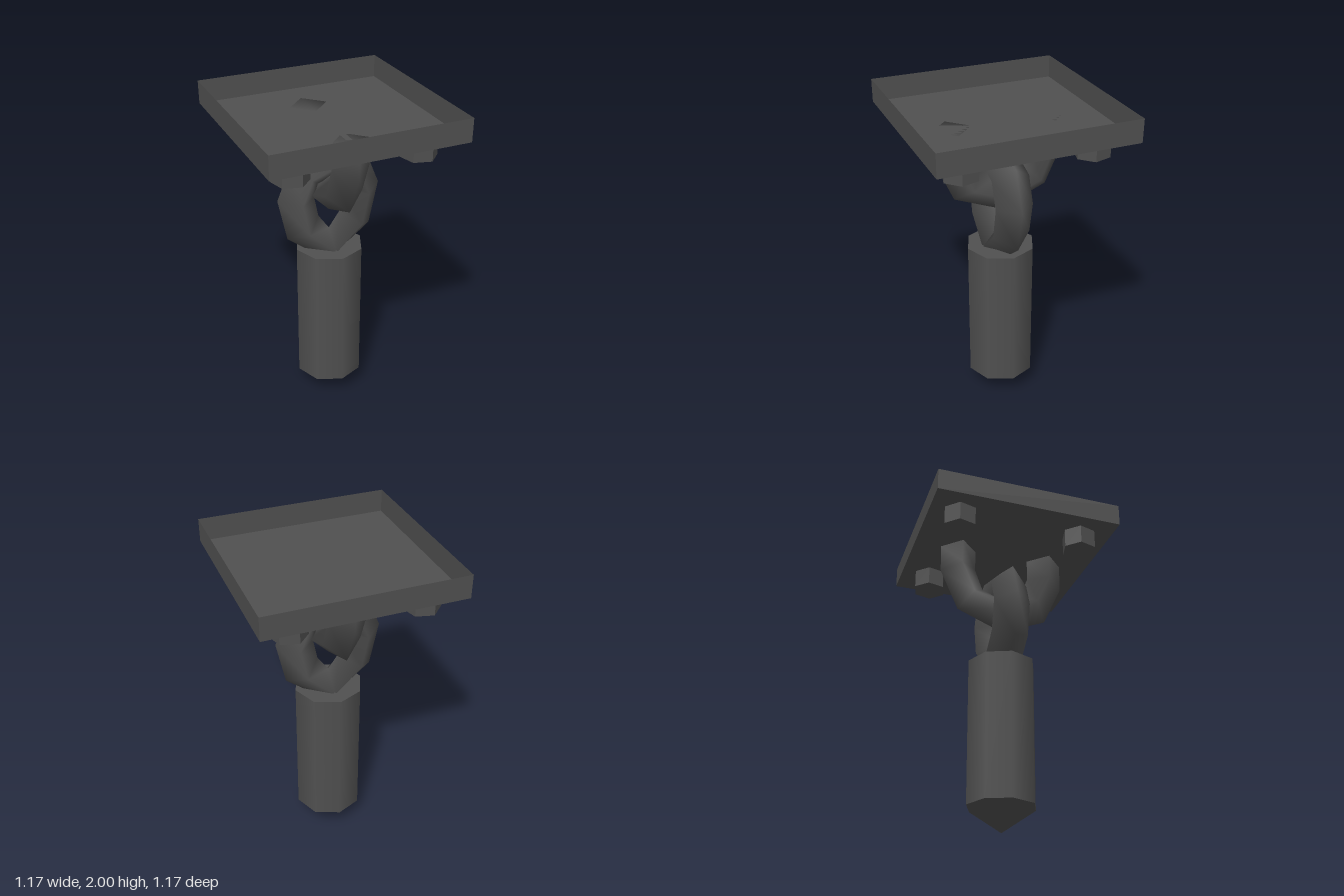
import * as THREE from 'three';

const iron = new THREE.MeshStandardMaterial({ color: 0x505050, side: THREE.DoubleSide });
iron.name = 'dark iron';

function add(parent, name, geometry, x = 0, y = 0, z = 0) {
  const mesh = new THREE.Mesh(geometry, iron);
  mesh.name = name;
  mesh.position.set(x, y, z);
  parent.add(mesh);
  return mesh;
}

// Sweeps a four-sided smooth bar along [x, y] points running counter-clockwise
function barGeometry(path, radius, closed) {
  const n = path.length;
  const pts = path.map(([x, y]) => new THREE.Vector2(x, y));
  const at = (i) => pts[closed ? (i + n) % n : Math.min(Math.max(i, 0), n - 1)];
  const positions = [];
  const index = [];
  for (let i = 0; i < n; i++) {
    const p = pts[i];
    const before = p.clone().sub(at(i - 1)).normalize();
    const after = at(i + 1).clone().sub(p).normalize();
    const t = before.add(after).normalize();
    const out = new THREE.Vector2(t.y, -t.x);
    for (let k = 0; k < 4; k++) {
      const c = Math.cos((k * Math.PI) / 2) * radius;
      const s = Math.sin((k * Math.PI) / 2) * radius;
      positions.push(p.x + out.x * c, p.y + out.y * c, s);
    }
  }
  const spans = closed ? n : n - 1;
  for (let i = 0; i < spans; i++) {
    const j = (i + 1) % n;
    for (let k = 0; k < 4; k++) {
      const m = (k + 1) % 4;
      const a = i * 4 + k, b = j * 4 + k, c = j * 4 + m, d = i * 4 + m;
      index.push(a, b, c, a, c, d);
    }
  }
  if (!closed) {
    const e = (n - 1) * 4;
    index.push(0, 1, 2, 0, 2, 3, e, e + 2, e + 1, e, e + 3, e + 2);
  }
  const g = new THREE.BufferGeometry();
  g.setAttribute('position', new THREE.Float32BufferAttribute(positions, 3));
  g.setIndex(index);
  g.computeVertexNormals();
  return g;
}

export function createModel() {
  const model = new THREE.Group();
  model.name = 'hangingWeight';

  // Ceiling plate: a shallow tray, open at the top
  const tray = new THREE.BoxGeometry(1.17, 0.14, 1.17);
  const faces = Array.from(tray.index.array);
  faces.splice(12, 6);
  tray.setIndex(faces);
  tray.clearGroups();
  add(model, 'ceilingPlate', tray, 0, 1.93, 0);

  // Hexagonal bolts under the corners
  const bolt = new THREE.CylinderGeometry(0.108, 0.108, 0.12, 6).toNonIndexed();
  bolt.computeVertexNormals();
  for (const x of [-0.395, 0.375]) {
    for (const z of [-0.395, 0.385]) {
      add(model, 'bolt', bolt, x, 1.8, z).rotation.y = 0.27;
    }
  }

  // Open upper link, fixed to the plate at both ends
  const upper = [[-0.295, 1.86], [-0.295, 1.7], [-0.21, 1.5], [0, 1.415],
    [0.21, 1.5], [0.295, 1.7], [0.295, 1.86]];
  add(model, 'upperLink', barGeometry(upper, 0.117, false)).rotation.y = Math.PI / 2;

  // Closed lower link, sunk into the weight
  const lower = [[0, 1.055], [0.17, 1.21], [0.212, 1.41], [0.152, 1.567],
    [0, 1.62], [-0.152, 1.567], [-0.212, 1.41], [-0.17, 1.21]];
  add(model, 'lowerLink', barGeometry(lower, 0.117, true));

  // Eight-sided weight with a pointed tip
  add(model, 'weightBody', new THREE.CylinderGeometry(0.213, 0.213, 0.915, 8), 0, 0.6075, 0);
  const tip = new THREE.ConeGeometry(0.213, 0.15, 8, 1, true);
  add(model, 'weightTip', tip, 0, 0.075, 0).rotation.x = Math.PI;

  return model;
}
